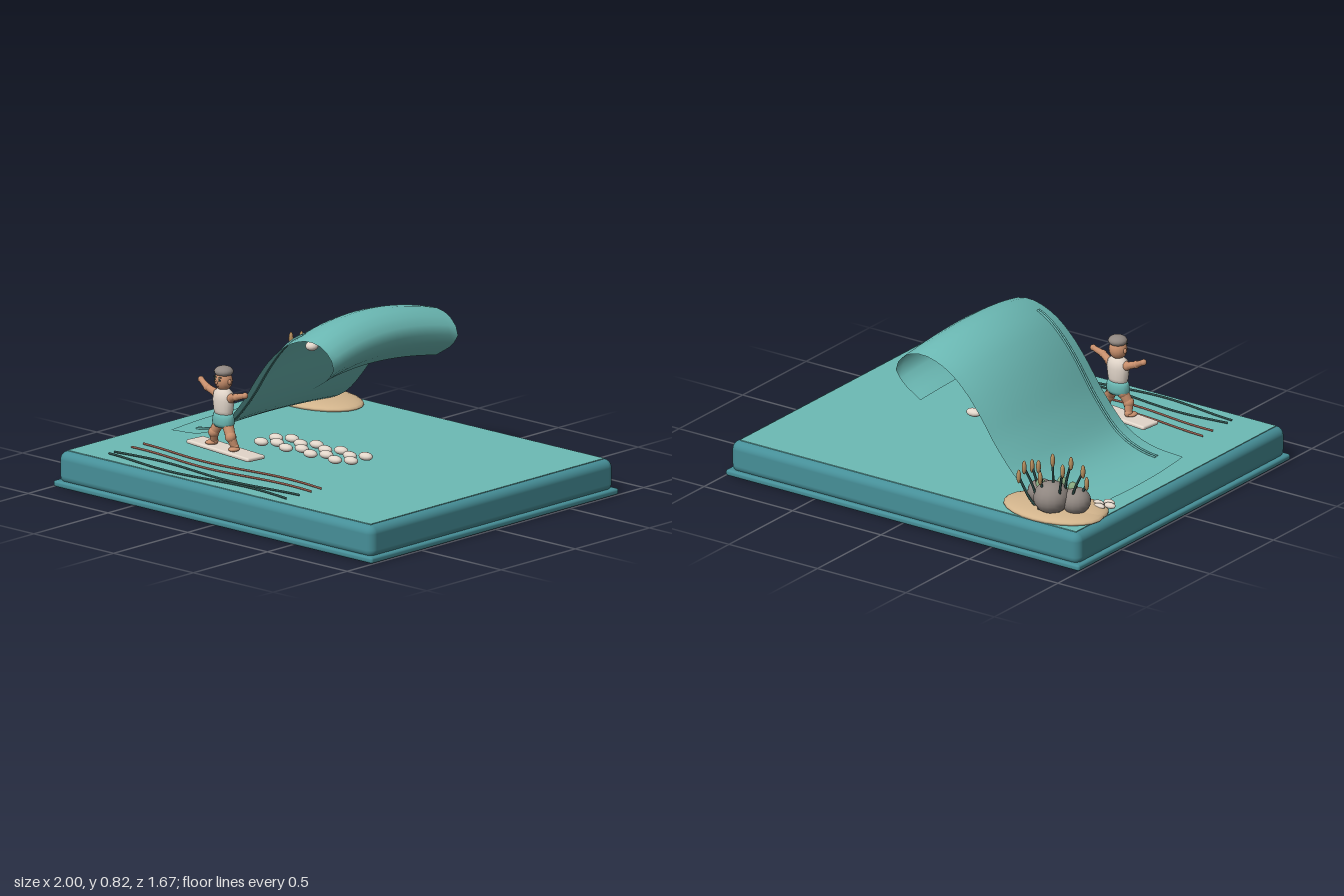
import * as THREE from 'three';
import { RoundedBoxGeometry } from 'three/addons/geometries/RoundedBoxGeometry.js';

const V = (x, y, z) => new THREE.Vector3(x, y, z);
const mat = (name, color) => {
  const m = new THREE.MeshStandardMaterial({ color });
  m.name = name;
  return m;
};

export function createModel() {
  const base = mat('deep teal', 0x468f98);
  const water = mat('water teal', 0x6cbab5);
  water.side = THREE.DoubleSide;
  const sand = mat('sand', 0xd2b48c);
  const rock = mat('rock grey', 0x8f8680);
  const foam = mat('foam white', 0xe2d6ca);
  const skin = mat('skin', 0xc88f6c);
  const leaf = mat('leaf green', 0x86a880);
  const dark = mat('dark green', 0x2c4a46);
  const tan = mat('reed tan', 0xb8905f);
  const rust = mat('rust', 0x8a5648);

  const model = new THREE.Group();
  model.name = 'surfScene';

  // Helpers
  const add = (parent, name, geometry, material, pos = [0, 0, 0]) => {
    const mesh = new THREE.Mesh(geometry, material);
    mesh.name = name;
    mesh.position.set(...pos);
    parent.add(mesh);
    return mesh;
  };
  const group = (name, pos = [0, 0, 0]) => {
    const g = new THREE.Group();
    g.name = name;
    g.position.set(...pos);
    model.add(g);
    return g;
  };
  const ball = (parent, name, material, pos, [rx, ry, rz], seg = 16) =>
    add(parent, name, new THREE.SphereGeometry(1, seg, Math.ceil(seg * 0.7)).scale(rx, ry, rz), material, pos);
  const limb = (parent, name, material, a, b, r1, r2) => {
    const d = b.clone().sub(a);
    const mesh = add(parent, name, new THREE.CylinderGeometry(r2, r1, d.length(), 10), material,
      a.clone().add(b).multiplyScalar(0.5).toArray());
    mesh.quaternion.setFromUnitVectors(V(0, 1, 0), d.normalize());
    return mesh;
  };
  const tube = (parent, name, material, points, r, seg = 40) =>
    add(parent, name, new THREE.TubeGeometry(new THREE.CatmullRomCurve3(points), seg, r, 6), material);

  // Base block and water surface
  add(model, 'plinth', new RoundedBoxGeometry(2, 0.03, 1.67, 2, 0.012), base, [0, 0.015, 0]);
  add(model, 'baseBlock', new RoundedBoxGeometry(1.97, 0.155, 1.645, 4, 0.04), base, [0, 0.0925, 0]);
  add(model, 'waterSurface', new THREE.BoxGeometry(1.9, 0.006, 1.575), water, [0, 0.17, 0]);

  // Curling wave: one profile swept along z, swelling towards the middle
  const profile = new THREE.CatmullRomCurve3([
    [-0.83, 0.178], [-0.65, 0.195], [-0.52, 0.25], [-0.39, 0.385], [-0.28, 0.54], [-0.2, 0.635],
    [-0.1, 0.715], [0.03, 0.757], [0.13, 0.735], [0.19, 0.66], [0.155, 0.6], [0.05, 0.53],
  ].map(([x, y]) => V(x, y, 0)));
  const wavePoint = (t, z) => {
    const p = profile.getPointAt(t);
    const swell = 1 - ((z + 0.2) / 0.42) ** 2;
    return V(p.x - 0.033 * swell, 0.17 + (p.y - 0.17) * (1 + 0.1 * swell), z);
  };
  const sheet = new THREE.PlaneGeometry(1, 1, 32, 18);
  const at = sheet.attributes.position;
  for (let i = 0; i < at.count; i++) {
    const p = wavePoint(at.getX(i) + 0.5, -0.2 - at.getY(i) * 0.84);
    at.setXYZ(i, p.x, p.y, p.z);
  }
  sheet.computeVertexNormals();
  const wave = group('wave');
  add(wave, 'waveSheet', sheet, water);
  for (const z of [0.127, 0.143]) {
    const pts = [];
    for (let i = 0; i <= 16; i++) pts.push(wavePoint(0.067 + (i / 16) * 0.6, z).add(V(0, 0.003, 0)));
    tube(wave, 'waveStreak', water, pts, 0.005);
  }

  // Foam under the crest and along the tunnel floor
  const foamGroup = group('foam');
  for (let i = 0; i < 3; i++)
    ball(foamGroup, 'crestFoam', foam, [0.03, 0.732 + i * 0.008, 0.195 - i * 0.09], [0.03, 0.022, 0.03]);
  for (let i = 0; i < 8; i++) for (const z of [0.06, 0.16])
    ball(foamGroup, 'floorFoam', foam,
      [-0.32 + i * 0.077, 0.205 + (i % 2) * 0.005, z - (i % 2) * 0.025], [0.038, 0.019, 0.026]);

  // Ripple lines on the water: start z, amplitude, phase, colour
  const ripples = group('ripples');
  for (const [z0, amp, phase, m] of [
    [0.5, 0.02, -1.4, rust], [0.578, 0.02, -1.9, rust], [0.67, 0.02, 2.9, dark], [0.733, 0.022, -1.3, dark],
  ]) {
    const pts = [];
    for (let i = 0; i <= 20; i++) {
      const x = -0.76 + i * 0.057;
      pts.push(V(x, 0.178, z0 + amp * Math.sin((x + 0.76) * 6.8 + phase)));
    }
    tube(ripples, 'ripple', m, pts, 0.0055, 60);
  }

  // Sandy islet with rocks, pebbles, leaves and reeds
  const islet = group('islet');
  ball(islet, 'sandMound', sand, [-0.712, 0.18, -0.63], [0.26, 0.034, 0.168], 24);
  ball(islet, 'sandSpit', sand, [-0.82, 0.18, -0.58], [0.14, 0.034, 0.125], 24);
  for (const [x, y, z, r] of [[-0.84, 0.25, -0.635, 0.07], [-0.745, 0.265, -0.695, 0.085], [-0.645, 0.25, -0.635, 0.065]])
    ball(islet, 'rock', rock, [x, y, z], [r, r * 0.9, r]);
  for (const [x, z] of [[-0.935, -0.5], [-0.9, -0.535], [-0.91, -0.47], [-0.875, -0.505]])
    ball(islet, 'pebble', foam, [x, 0.203, z], [0.03, 0.014, 0.018], 12);
  for (const [x, y, z] of [[-0.82, 0.3, -0.63], [-0.745, 0.305, -0.61], [-0.69, 0.27, -0.6], [-0.775, 0.255, -0.585], [-0.66, 0.29, -0.66]])
    ball(islet, 'leafBlob', leaf, [x, y, z], [0.026, 0.036, 0.022], 12);
  for (const [x, y, z] of [
    [-0.905, 0.42, -0.67], [-0.84, 0.43, -0.74], [-0.83, 0.44, -0.66], [-0.89, 0.34, -0.62], [-0.755, 0.45, -0.7],
    [-0.72, 0.37, -0.75], [-0.655, 0.42, -0.785], [-0.585, 0.34, -0.73], [-0.61, 0.375, -0.66], [-0.675, 0.4, -0.7],
  ]) {
    const root = V(-0.75 + (x + 0.75) * 0.5, 0.2, -0.68 + (z + 0.68) * 0.5);
    const bend = V(root.x * 0.6 + x * 0.4, y - 0.1, root.z * 0.6 + z * 0.4);
    tube(islet, 'reedStem', dark, [root, bend, V(x, y, z)], 0.006, 10);
    ball(islet, 'reedHead', tan, [x, y, z], [0.011, 0.034, 0.011], 10);
  }

  // Surfer on the board, turned slightly
  const surfer = group('surfer', [-0.325, 0, 0.395]);
  surfer.rotation.y = -0.125;
  add(surfer, 'board', new RoundedBoxGeometry(0.445, 0.02, 0.105, 2, 0.009), foam, [0, 0.215, 0]);
  add(surfer, 'fin', new THREE.ConeGeometry(0.014, 0.02, 8).rotateX(Math.PI), dark, [-0.02, 0.2, 0]);
  const body = new THREE.Group();
  body.name = 'body';
  body.position.x = -0.015;
  surfer.add(body);
  add(body, 'torso', new THREE.LatheGeometry([
    [0, 0.365], [0.045, 0.367], [0.054, 0.4], [0.06, 0.45], [0.053, 0.485], [0.03, 0.502], [0, 0.505],
  ].map(([r, y]) => new THREE.Vector2(r, y)), 18).scale(1, 1, 0.72), foam);
  add(body, 'shorts', new THREE.LatheGeometry([
    [0, 0.32], [0.05, 0.322], [0.064, 0.34], [0.06, 0.37], [0.054, 0.385], [0, 0.386],
  ].map(([r, y]) => new THREE.Vector2(r, y)), 18).scale(1, 1, 0.68), water);
  limb(body, 'neck', skin, V(0, 0.49, 0), V(0, 0.52, 0), 0.02, 0.02);
  ball(body, 'head', skin, [0, 0.54, 0], [0.044, 0.048, 0.042]);
  ball(body, 'cap', rock, [0, 0.583, -0.002], [0.046, 0.026, 0.044]);
  ball(body, 'nose', skin, [0, 0.535, 0.042], [0.007, 0.008, 0.008], 10);
  for (const s of [-1, 1]) {
    ball(body, 'ear', skin, [s * 0.044, 0.54, 0], [0.008, 0.013, 0.009], 10);
    ball(body, 'eye', dark, [s * 0.016, 0.548, 0.038], [0.006, 0.005, 0.004], 10);
    const brow = add(body, 'brow', new THREE.BoxGeometry(0.018, 0.004, 0.006), dark, [s * 0.016, 0.56, 0.037]);
    brow.rotation.z = s * 0.15;
  }
  add(body, 'mouth', new THREE.BoxGeometry(0.016, 0.003, 0.005), rust, [0, 0.518, 0.037]);

  // Limbs as jointed segments
  const chain = (name, joints, radii) => {
    for (let i = 0; i < joints.length; i++) {
      const r = radii[i];
      ball(body, name + 'Joint', skin, joints[i].toArray(), [r * 1.15, r * 1.15, r * 1.15], 12);
      if (i) limb(body, name + 'Segment', skin, joints[i - 1], joints[i], radii[i - 1], r);
    }
  };
  chain('rightArm', [V(-0.055, 0.47, 0), V(-0.105, 0.488, 0.01), V(-0.155, 0.514, 0.005)], [0.019, 0.016, 0.013]);
  chain('leftArm', [V(0.055, 0.465, 0), V(0.105, 0.483, 0.012), V(0.16, 0.5, 0.005)], [0.019, 0.016, 0.013]);
  chain('rightLeg', [V(-0.03, 0.335, 0), V(-0.055, 0.285, 0.012), V(-0.066, 0.238, 0)], [0.027, 0.023, 0.017]);
  chain('leftLeg', [V(0.03, 0.335, 0), V(0.066, 0.285, 0.012), V(0.083, 0.238, 0)], [0.027, 0.023, 0.017]);
  for (const x of [-0.074, 0.09]) ball(body, 'foot', skin, [x, 0.233, 0.012], [0.025, 0.011, 0.03], 12);

  return model;
}
